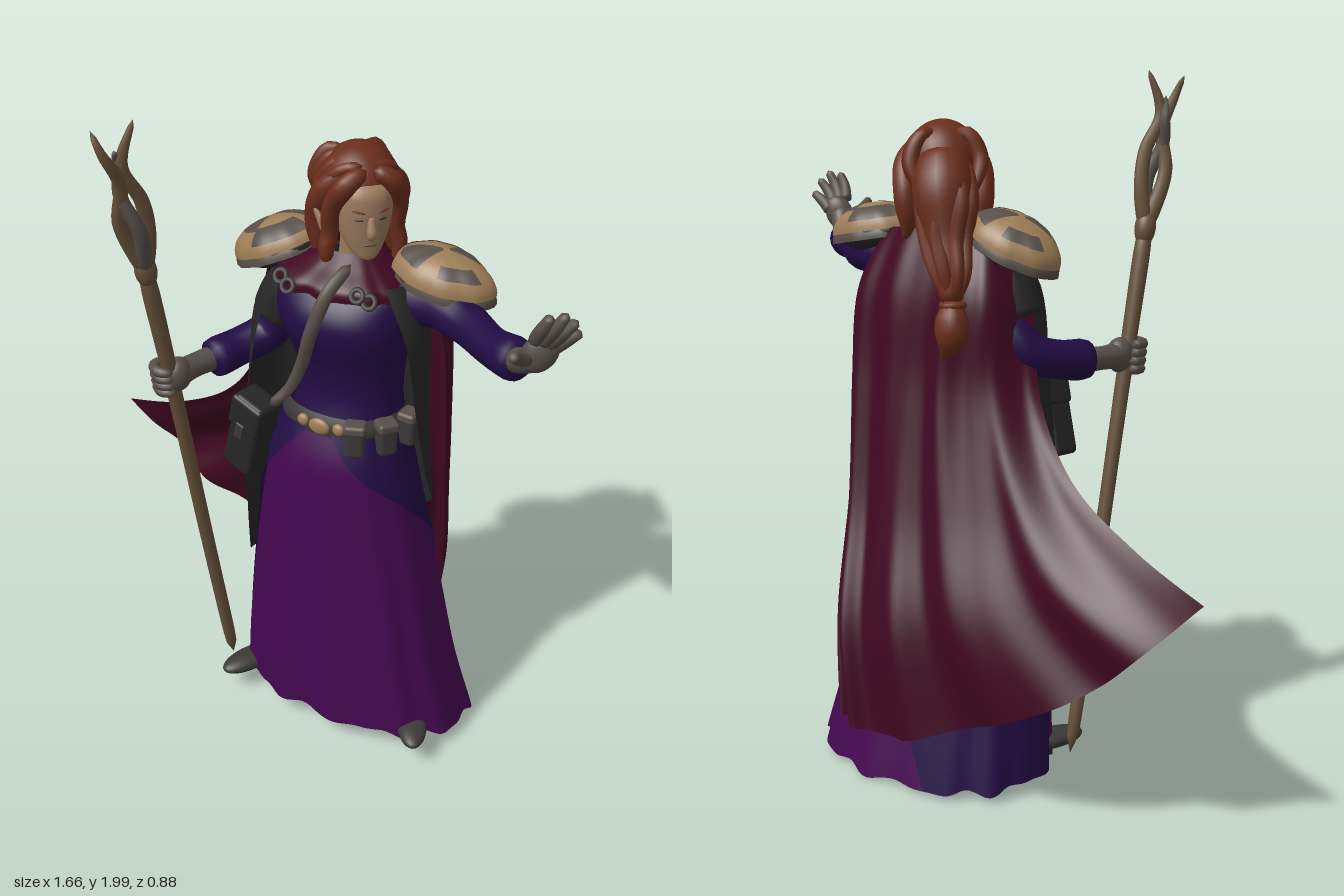
import * as THREE from 'three';
import { mergeVertices } from 'three/addons/utils/BufferGeometryUtils.js';
import { RoundedBoxGeometry } from 'three/addons/geometries/RoundedBoxGeometry.js';

const mat = (name, color, side = THREE.FrontSide) => {
  const m = new THREE.MeshStandardMaterial({ color, side });
  m.name = name;
  return m;
};
const V = (p) => new THREE.Vector3(...p);

// Catmull-Rom blend of number rows, t in 0..1
function sample(rows, t) {
  const n = rows.length - 1, i = Math.min(n - 1, Math.floor(t * n)), f = t * n - i;
  const at = (k) => rows[Math.max(0, Math.min(n, k))];
  const [a, b, c, d] = [at(i - 1), at(i), at(i + 1), at(i + 2)];
  return b.map((_, k) => b[k] + 0.5 * f * (c[k] - a[k] + f * (2 * a[k] - 5 * b[k] + 4 * c[k] - d[k]
    + f * (3 * (b[k] - c[k]) + d[k] - a[k]))));
}

// Smooth surface from a rule fn(u, v) -> [x, y, z]
function grid(nu, nv, fn) {
  const pos = [], idx = [];
  for (let j = 0; j <= nv; j++) for (let i = 0; i <= nu; i++) pos.push(...fn(i / nu, j / nv));
  for (let j = 0; j < nv; j++) for (let i = 0; i < nu; i++) {
    const a = j * (nu + 1) + i, c = a + nu + 1;
    idx.push(a, a + 1, c, a + 1, c + 1, c);
  }
  let g = new THREE.BufferGeometry();
  g.setAttribute('position', new THREE.Float32BufferAttribute(pos, 3));
  g.setIndex(idx);
  g = mergeVertices(g, 1e-5);
  g.computeVertexNormals();
  return g;
}

// Stacked, slightly squared ellipses, bottom to top: [y, cx, cz, rx, rz, startAngle, endAngle]; angle 0 is the front
const soft = (t) => Math.sign(t) * Math.abs(t) ** 0.9;
function loft(rows, fold = 0, dip = 0, nu = 96, nv = 28) {
  return grid(nu, nv, (u, v) => {
    const [y, cx, cz, rx, rz, a0 = 0, a1 = Math.PI * 2] = sample(rows, v);
    const a = u === 1 && a1 === Math.PI * 2 ? 0 : a0 + (a1 - a0) * u, low = 1 - v;
    const wave = Math.sin(11 * a) + 0.6 * Math.sin(17 * a + 1), k = 1 + fold * low * wave;
    return [cx + rx * k * soft(Math.sin(a)), y - dip * low ** 3 * ((1 - Math.cos(a)) / 2 + 0.12 * wave), cz + rz * k * soft(Math.cos(a))];
  });
}

// Tapered round tube with closed ends
function limb(points, radii, sides = 12, seg = 24) {
  const curve = new THREE.CatmullRomCurve3(points.map(V));
  let g = new THREE.TubeGeometry(curve, seg, 1, sides);
  const p = g.attributes.position, q = new THREE.Vector3();
  for (let i = 0; i < p.count; i++) {
    const u = Math.floor(i / (sides + 1)) / seg, c = curve.getPointAt(u);
    const r = sample(radii.map((x) => [x]), u)[0] * Math.sqrt(Math.max(0, 1 - Math.abs(2 * u - 1) ** 20));
    q.fromBufferAttribute(p, i).sub(c).multiplyScalar(r).add(c);
    p.setXYZ(i, q.x, q.y, q.z);
  }
  g.deleteAttribute('uv');
  g.deleteAttribute('normal');
  g = mergeVertices(g, 1e-6);
  g.computeVertexNormals();
  return g;
}

export function createModel() {
  const D = THREE.DoubleSide;
  const skirtM = mat('bright purple', 0x440850, D), robeM = mat('indigo', 0x220c44, D);
  const capeM = mat('maroon', 0x400821, D), coatM = mat('charcoal', 0x262627, D);
  const hairM = mat('auburn', 0x6a2e1b), skinM = mat('skin', 0x9b7c5e), boneM = mat('bone', 0x9c7d56, D);
  const gloveM = mat('grey leather', 0x574e48, D), woodM = mat('wood', 0x665039), metalM = mat('dark metal', 0x3a3937);

  const model = new THREE.Group();
  const add = (name, geo, m, pos = [0, 0, 0], rot = [0, 0, 0], scale = [1, 1, 1], parent = model) => {
    const o = new THREE.Mesh(geo, m);
    o.name = name;
    o.position.set(...pos);
    o.rotation.set(...rot);
    o.scale.set(...scale);
    parent.add(o);
    return o;
  };
  const ball = new THREE.SphereGeometry(1, 28, 20);

  // Dress
  const dress = [[0.08, 0.13, -0.13, 0.37, 0.24], [0.3, 0.115, -0.1, 0.33, 0.215], [0.6, 0.11, -0.07, 0.283, 0.187],
    [0.85, 0.105, -0.045, 0.233, 0.167], [1.0, 0.105, -0.04, 0.198, 0.158], [1.12, 0.11, -0.05, 0.16, 0.13]];
  add('skirt', loft(dress, 0.018, 0.06, 144), skirtM);
  const opening = [[3.5, 5.0], [3.1, 5.0], [2.3, 4.95], [1.45, 5.2], [0.6, 5.68], [0.12, 6.16]];
  add('overskirt', loft(dress.map(([y, x, z, a, b], i) => [y, x, z, a + 0.012, b + 0.012, ...opening[i]]), 0.018, 0.05, 128), robeM);
  add('petticoat', loft([[0.09, 0.125, -0.13, 0.34, 0.22], [0.15, 0.12, -0.12, 0.15, 0.1], [0.16, 0.12, -0.12, 0, 0]]), coatM);
  add('bodice', loft([[1.05, 0.108, -0.05, 0.175, 0.14], [1.18, 0.12, -0.065, 0.145, 0.118], [1.27, 0.115, -0.065, 0.155, 0.122],
    [1.38, 0.105, -0.055, 0.185, 0.148], [1.45, 0.1, -0.06, 0.193, 0.146], [1.52, 0.1, -0.075, 0.18, 0.11],
    [1.56, 0.1, -0.08, 0.06, 0.06]]), robeM);

  // Long open coat
  add('coat', loft([[0.45, 0.08, -0.09, 0.325, 0.21, 2.9, 4.72], [0.7, 0.07, -0.08, 0.3, 0.195, 2.5, 4.85],
    [0.87, 0.065, -0.07, 0.295, 0.185, 1.75, 4.98], [1.15, 0.075, -0.06, 0.27, 0.165, 1.4, 5.25],
    [1.4, 0.09, -0.05, 0.252, 0.16, 1.15, 5.5], [1.54, 0.1, -0.06, 0.19, 0.11, 0.9, 5.5]], 0.008), coatM);
  add('coatSleeve', limb([[-0.04, 1.49, -0.08], [-0.09, 1.41, -0.075], [-0.13, 1.33, -0.07]], [0.07, 0.078, 0.072], 16), coatM);

  // Cape, rows from hem to shoulders, each running from the left side round the back
  const cape = [
    [[0.28, 0.22, -0.36], [0.22, 0.2, -0.415], [0, 0.2, -0.41], [-0.5, 0.42, -0.35], [-0.83, 0.73, -0.265]],
    [[0.33, 0.5, -0.29], [0.27, 0.48, -0.385], [0.05, 0.5, -0.41], [-0.3, 0.62, -0.36], [-0.61, 0.81, -0.22]],
    [[0.36, 0.82, -0.2], [0.32, 0.8, -0.28], [0.1, 0.8, -0.33], [-0.18, 0.86, -0.3], [-0.39, 0.94, -0.18]],
    [[0.38, 1.15, -0.13], [0.34, 1.15, -0.23], [0.11, 1.15, -0.27], [-0.1, 1.15, -0.24], [-0.24, 1.13, -0.12]],
    [[0.375, 1.38, -0.09], [0.33, 1.4, -0.205], [0.1, 1.4, -0.245], [-0.11, 1.4, -0.215], [-0.175, 1.38, -0.07]],
    [[0.33, 1.53, -0.03], [0.28, 1.57, -0.14], [0.1, 1.58, -0.18], [-0.07, 1.57, -0.14], [-0.13, 1.5, -0.03]]];
  add('cape', grid(120, 44, (u, v) => {
    const [x, y, z] = sample(cape.map((r) => sample(r, u)), v);
    const w = 0.017 * (1.15 - v) * Math.sin(Math.PI * Math.min(1, u * 5, (1 - u) * 5) / 2);
    return [x, y, z + w * (Math.sin(u * 34 + v * 3) + 0.4 * Math.sin(u * 57))];
  }), capeM);
  add('cowl', loft([[1.5, 0.09, -0.06, 0.195, 0.14], [1.53, 0.09, -0.06, 0.18, 0.135],
    [1.565, 0.1, -0.07, 0.12, 0.1], [1.6, 0.105, -0.08, 0.075, 0.07]], 0.03, 0.02), capeM);

  // Shoulder guards: domes with a pointed outer end (local +x), worn patches and a lower layer
  const dome = (u0, u1, v0, v1, grow) => grid(36, 12, (u, v) => {
    const a = Math.PI * 2 * (u0 + (u1 - u0) * u), b = (v0 + (v1 - v0) * v) * Math.PI / 2;
    const r = Math.cos(b) * grow * (0.95 + 0.14 * Math.max(0, Math.cos(a)) ** 6 + 0.02 * Math.sin(9 * a));
    return [r * Math.cos(a), Math.sin(b) * grow, -r * Math.sin(a)];
  });
  const guards = [['left', [0.355, 1.555, -0.1], [0, 0, -0.16], [0.142, 0.08, 0.105]],
    ['right', [-0.115, 1.545, -0.085], [0, Math.PI, 0.42], [0.142, 0.08, 0.12]]];
  for (const [side, pos, rot, size] of guards) {
    const g = new THREE.Group();
    g.name = side + 'ShoulderGuard';
    g.position.set(...pos);
    g.rotation.set(0, rot[1], side === 'left' ? rot[2] : -rot[2]);
    g.scale.set(...size);
    model.add(g);
    add('guardDome', dome(0, 1, 0, 1, 1), boneM, undefined, undefined, undefined, g);
    add('guardLowerLayer', dome(0, 1, 0, 0.6, 0.97), gloveM, [0.07, -0.3, 0], undefined, undefined, g);
    add('guardPadding', ball, coatM, [0, -0.1, 0], undefined, [0.86, 0.62, 0.86], g);
    for (const p of [[0.22, 0.46, 0.25, 0.62], [0.52, 0.7, 0.35, 0.95], [0.78, 0.95, 0.35, 0.6], [0.05, 0.22, 0.55, 0.95]])
      add('wornPatch', dome(...p, 1.02), gloveM, undefined, undefined, undefined, g);
  }

  // Arms and gloves
  add('leftSleeve', limb([[0.24, 1.47, -0.09], [0.36, 1.49, -0.08], [0.47, 1.48, -0.03], [0.58, 1.485, 0.055], [0.685, 1.5, 0.115]],
    [0.075, 0.068, 0.055, 0.05, 0.06], 18), robeM);
  add('leftWrist', limb([[0.64, 1.495, 0.1], [0.7, 1.52, 0.13], [0.735, 1.57, 0.155]], [0.034, 0.032, 0.035]), gloveM);
  add('leftPalm', ball, gloveM, [0.74, 1.565, 0.155], [0, 0.5, -0.45], [0.043, 0.056, 0.027]);
  const fingers = [[[0.73, 1.6, 0.175], [0.755, 1.65, 0.195], [0.775, 1.69, 0.195]],
    [[0.745, 1.595, 0.165], [0.78, 1.65, 0.18], [0.805, 1.695, 0.175]],
    [[0.755, 1.585, 0.15], [0.79, 1.63, 0.16], [0.822, 1.67, 0.15]],
    [[0.76, 1.57, 0.135], [0.79, 1.6, 0.135], [0.825, 1.63, 0.125]],
    [[0.72, 1.55, 0.175], [0.712, 1.575, 0.225], [0.72, 1.605, 0.275]]];
  for (const f of fingers) add('leftFinger', limb(f, [0.018, 0.017, 0.012], 8, 12), gloveM);
  add('rightSleeve', limb([[-0.05, 1.47, -0.09], [-0.1, 1.36, -0.1], [-0.165, 1.26, -0.085], [-0.215, 1.23, -0.01], [-0.255, 1.22, 0.095]],
    [0.066, 0.06, 0.057, 0.054, 0.06], 18), robeM);
  add('rightWrist', limb([[-0.25, 1.22, 0.06], [-0.275, 1.22, 0.14], [-0.285, 1.22, 0.2]], [0.036, 0.034, 0.038]), gloveM);
  add('rightPalm', ball, gloveM, [-0.285, 1.22, 0.195], [0, 0, 0], [0.037, 0.05, 0.042]);
  for (let i = 0; i < 4; i++) {
    const y = 1.252 - i * 0.023, z = 0.215 - i * 0.004;
    add('rightFinger', limb([[-0.325, y, z - 0.02], [-0.335, y, z + 0.02], [-0.3, y, z + 0.045], [-0.265, y, z + 0.03]],
      [0.014, 0.016, 0.015, 0.012], 8, 12), gloveM);
  }

  // Staff with twisting forked branches
  add('staffShaft', limb([[-0.266, 0.075, 0.0], [-0.28, 0.6, 0.1], [-0.295, 1.2, 0.212], [-0.303, 1.6, 0.295]],
    [0.019, 0.02, 0.021, 0.025], 10, 30), woodM);
  add('staffKnot', ball, woodM, [-0.302, 1.57, 0.288], [0.2, 0, 0], [0.03, 0.05, 0.03]);
  const branches = [
    [[-0.303, 1.57, 0.288], [-0.325, 1.72, 0.35], [-0.3, 1.84, 0.37], [-0.31, 1.93, 0.42], [-0.335, 1.985, 0.425]],
    [[-0.303, 1.57, 0.288], [-0.285, 1.68, 0.29], [-0.28, 1.78, 0.315], [-0.3, 1.88, 0.36], [-0.27, 2.0, 0.34]],
    [[-0.303, 1.57, 0.288], [-0.275, 1.7, 0.335], [-0.31, 1.8, 0.36], [-0.32, 1.87, 0.35], [-0.3, 1.93, 0.385]]];
  branches.forEach((b, i) => add('staffBranch', limb(b, [0.024, 0.021, 0.019, 0.016, 0.007], 8), i === 2 ? gloveM : woodM));

  // Head, turned towards the left
  const head = new THREE.Group();
  head.name = 'head';
  head.position.set(0.12, 1.7, -0.09);
  head.rotation.set(0.08, Math.PI / 4, 0, 'YXZ');
  model.add(head);
  const part = (name, geo, m, pos, rot, scale) => add(name, geo, m, pos, rot, scale, head);
  add('neck', limb([[0.1, 1.5, -0.09], [0.11, 1.57, -0.085], [0.12, 1.66, -0.08]], [0.05, 0.044, 0.046]), skinM);
  part('face', loft([[-0.112, 0, 0.07, 0, 0], [-0.105, 0, 0.065, 0.026, 0.028], [-0.07, 0, 0.035, 0.054, 0.062],
    [-0.02, 0, 0.02, 0.071, 0.08], [0.04, 0, 0.015, 0.076, 0.086], [0.09, 0, 0.005, 0.068, 0.078], [0.13, 0, 0, 0, 0]], 0, 0, 32, 24), skinM);
  part('nose', limb([[0, 0.025, 0.095], [0, -0.005, 0.106], [0, -0.025, 0.112], [0, -0.033, 0.098]], [0.008, 0.011, 0.014, 0.01], 8, 12), skinM);
  part('mouth', ball, gloveM, [0, -0.06, 0.095], [0, 0, 0], [0.018, 0.004, 0.006]);
  for (const s of [-1, 1]) {
    part('eye', ball, metalM, [s * 0.03, 0.014, 0.094], [0, s * 0.3, 0], [0.013, 0.004, 0.004]);
    part('brow', ball, hairM, [s * 0.032, 0.036, 0.094], [0, s * 0.3, s * 0.15], [0.018, 0.003, 0.005]);
    part('ear', new THREE.ConeGeometry(0.026, 0.095, 10), skinM, [s * 0.118, 0.0, 0.0], [-0.5, 0, -s * 0.4], [0.55, 1, 1]);
    // Side locks framing the face
    part('sideLock', limb([[s * 0.008, 0.135, 0.06], [s * 0.06, 0.105, 0.07], [s * 0.09, 0.03, 0.04], [s * 0.09, -0.05, 0.03],
      [s * 0.1, -0.1, 0.04], [s * 0.08, -0.155, 0.045]], [0.02, 0.028, 0.026, 0.024, 0.022, 0.008]), hairM);
    part('sideLock', limb([[s * 0.05, 0.12, 0.02], [s * 0.1, 0.05, -0.01], [s * 0.105, -0.03, -0.04], [s * 0.1, -0.11, -0.035],
      [s * 0.105, -0.16, -0.02]], [0.025, 0.032, 0.034, 0.03, 0.01]), hairM);
    for (let i = 0; i < 4; i++) part('crownStrand', limb([[s * 0.012, 0.14 - i * 0.008, 0.045 - i * 0.04],
      [s * 0.06, 0.125, 0.025 - i * 0.043], [s * 0.093, 0.06, -0.02 - i * 0.03], [s * 0.07, -0.03, -0.115 - i * 0.005]],
    [0.012, 0.02, 0.022, 0.014], 8, 16), hairM);
  }
  part('hairCap', ball, hairM, [0, 0.05, -0.03], [0, 0, 0], [0.106, 0.118, 0.112]);

  // Long gathered hair down the back
  add('backHair', limb([[0.07, 1.78, -0.15], [0.03, 1.68, -0.195], [0.0, 1.56, -0.22], [-0.04, 1.45, -0.255], [-0.055, 1.39, -0.265]],
    [0.07, 0.085, 0.066, 0.045, 0.032], 16), hairM);
  for (let i = 0; i < 7; i++) {
    const a = i * 0.9, c = Math.cos(a) * 0.06, s = Math.sin(a) * 0.045;
    add('backStrand', limb([[0.06 + c, 1.76, -0.155 + s], [0.025 + c * 1.2, 1.66, -0.195 + s], [0.005 + c * 0.9, 1.56, -0.22 + s],
      [-0.035 + c * 0.65, 1.47, -0.25 + s * 0.7], [-0.055, 1.39, -0.265]], [0.022, 0.027, 0.024, 0.02, 0.014], 8), hairM);
  }
  add('hairTie', new THREE.TorusGeometry(0.029, 0.009, 8, 18), hairM, [-0.055, 1.395, -0.265], [Math.PI / 2, 0, 0]);
  add('hairTail', limb([[-0.055, 1.41, -0.265], [-0.058, 1.36, -0.272], [-0.06, 1.31, -0.278], [-0.04, 1.25, -0.285]], [0.024, 0.045, 0.042, 0.008]), hairM);

  // Belt, pouches and satchel
  add('belt', loft([[1.095, 0.108, -0.05, 0.178, 0.146], [1.125, 0.11, -0.052, 0.182, 0.15], [1.155, 0.112, -0.055, 0.168, 0.14]], 0, 0, 48, 6), metalM);
  add('buckle', ball, boneM, [0.11, 1.125, 0.1], [0, 0, 0], [0.032, 0.024, 0.012]);
  for (const [x, z] of [[0.055, 0.09], [0.165, 0.09]]) add('beltStud', ball, boneM, [x, 1.125, z], [0, 0, 0], [0.018, 0.018, 0.012]);
  for (const [x, z, r] of [[0.215, 0.085, 0.4], [0.28, 0.03, 0.9], [0.31, -0.05, 1.5]]) {
    add('beltPouch', new RoundedBoxGeometry(0.055, 0.095, 0.05, 3, 0.014), metalM, [x, 1.105, z], [0, r, 0]);
    add('pouchFlap', new RoundedBoxGeometry(0.06, 0.03, 0.055, 2, 0.01), gloveM, [x, 1.145, z], [0, r, 0]);
  }
  add('satchel', new RoundedBoxGeometry(0.105, 0.25, 0.085, 3, 0.015), coatM, [-0.105, 1.045, 0.11], [0, -0.2, -0.24]);
  add('satchelFlap', new RoundedBoxGeometry(0.112, 0.1, 0.094, 3, 0.012), coatM, [-0.09, 1.115, 0.112], [0, -0.2, -0.24]);
  add('satchelClasp', new RoundedBoxGeometry(0.03, 0.05, 0.01, 2, 0.004), metalM, [-0.112, 1.07, 0.16], [0, -0.2, -0.24]);
  add('satchelStrap', limb([[0.15, 1.585, 0.01], [0.125, 1.53, 0.08], [0.09, 1.42, 0.108], [0.05, 1.3, 0.09], [0.01, 1.21, 0.09], [-0.04, 1.15, 0.115]],
    [0.017, 0.019, 0.019, 0.018, 0.017, 0.016], 8), gloveM);
  for (const [x, y, z] of [[-0.03, 1.53, 0.065], [0.0, 1.515, 0.08], [0.2, 1.53, 0.065], [0.23, 1.515, 0.055]])
    add('clasp', new THREE.TorusGeometry(0.017, 0.007, 8, 16), metalM, [x, y, z], [-0.5, 0, 0]);

  // Shoes
  for (const [x, z, r] of [[-0.19, 0.02, -0.4], [0.4, 0.02, 0.5]]) {
    add('shoe', ball, metalM, [x, 0.095, z], [0, r, 0], [0.045, 0.028, 0.1]);
    add('ankle', new THREE.CylinderGeometry(0.04, 0.035, 0.14, 14), metalM, [x * 0.85 + 0.015, 0.17, z - 0.08]);
  }
  return model;
}
